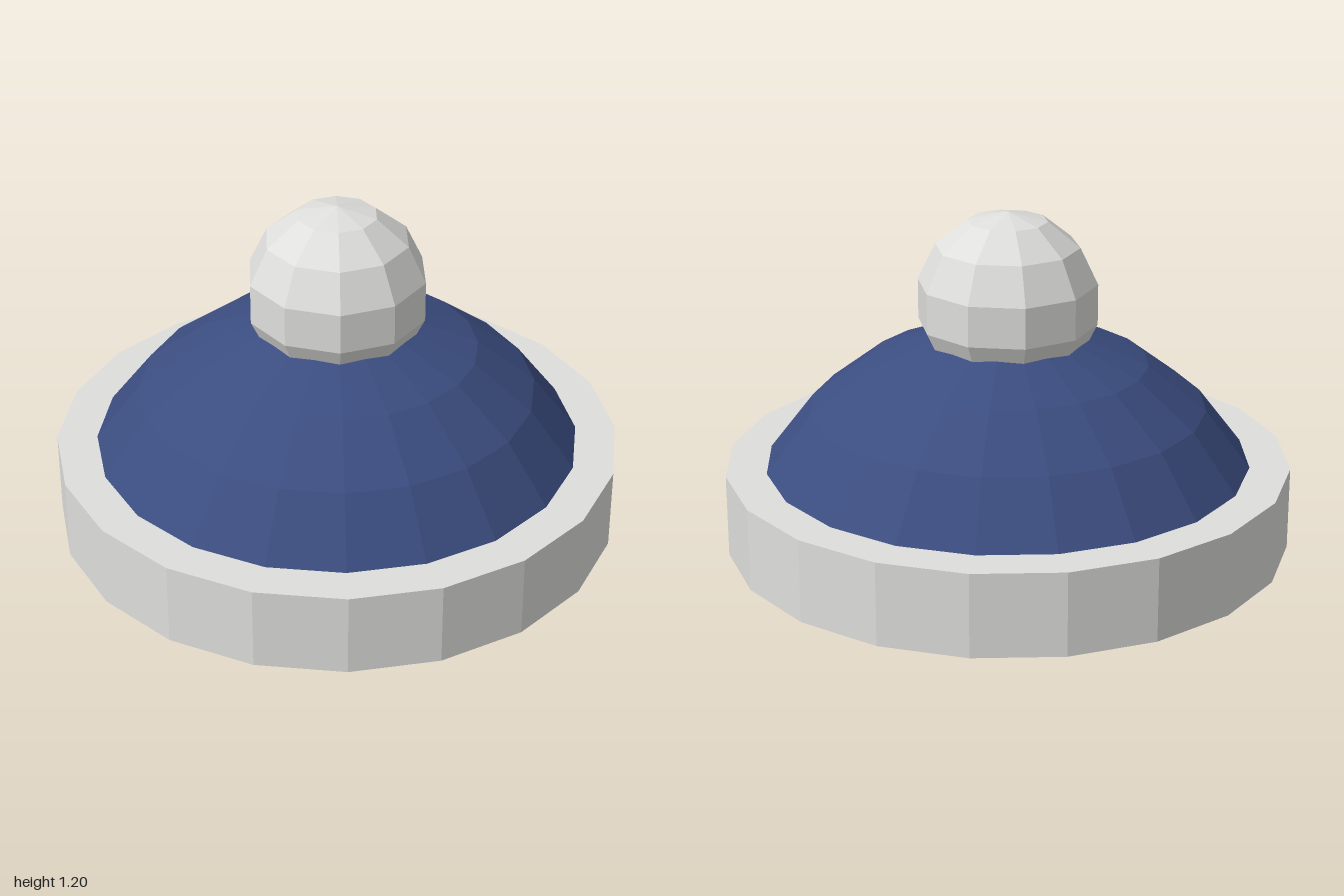
import * as THREE from 'three';

export function createModel() {
  const model = new THREE.Group();
  const paleGrey = new THREE.MeshStandardMaterial({ color: 0xdededc, flatShading: true });
  const navyBlue = new THREE.MeshStandardMaterial({ color: 0x3b4d80, flatShading: true });
  paleGrey.name = 'paleGrey';
  navyBlue.name = 'navyBlue';

  const add = (name, geometry, material, y) => {
    const mesh = new THREE.Mesh(geometry, material);
    mesh.name = name;
    mesh.position.y = y;
    model.add(mesh);
    return mesh;
  };

  // Twenty-sided disc base
  const baseHeight = 0.295;
  add('base', new THREE.CylinderGeometry(1, 1, baseHeight, 20), paleGrey, baseHeight / 2);

  // Shallow dome: a 60 degree cap of a sphere resting on the base
  const domeRadius = 0.99;
  add('dome',
    new THREE.SphereGeometry(domeRadius, 20, 4, 0, Math.PI * 2, 0, Math.PI / 3),
    navyBlue, baseHeight - domeRadius * 0.5);

  // Ten-sided ball knob sunk into the top of the dome, corners on the z axis
  const knob = add('knob', new THREE.SphereGeometry(0.323, 10, 7), paleGrey, 0.876);
  knob.rotation.y = Math.PI / 2;

  return model;
}
